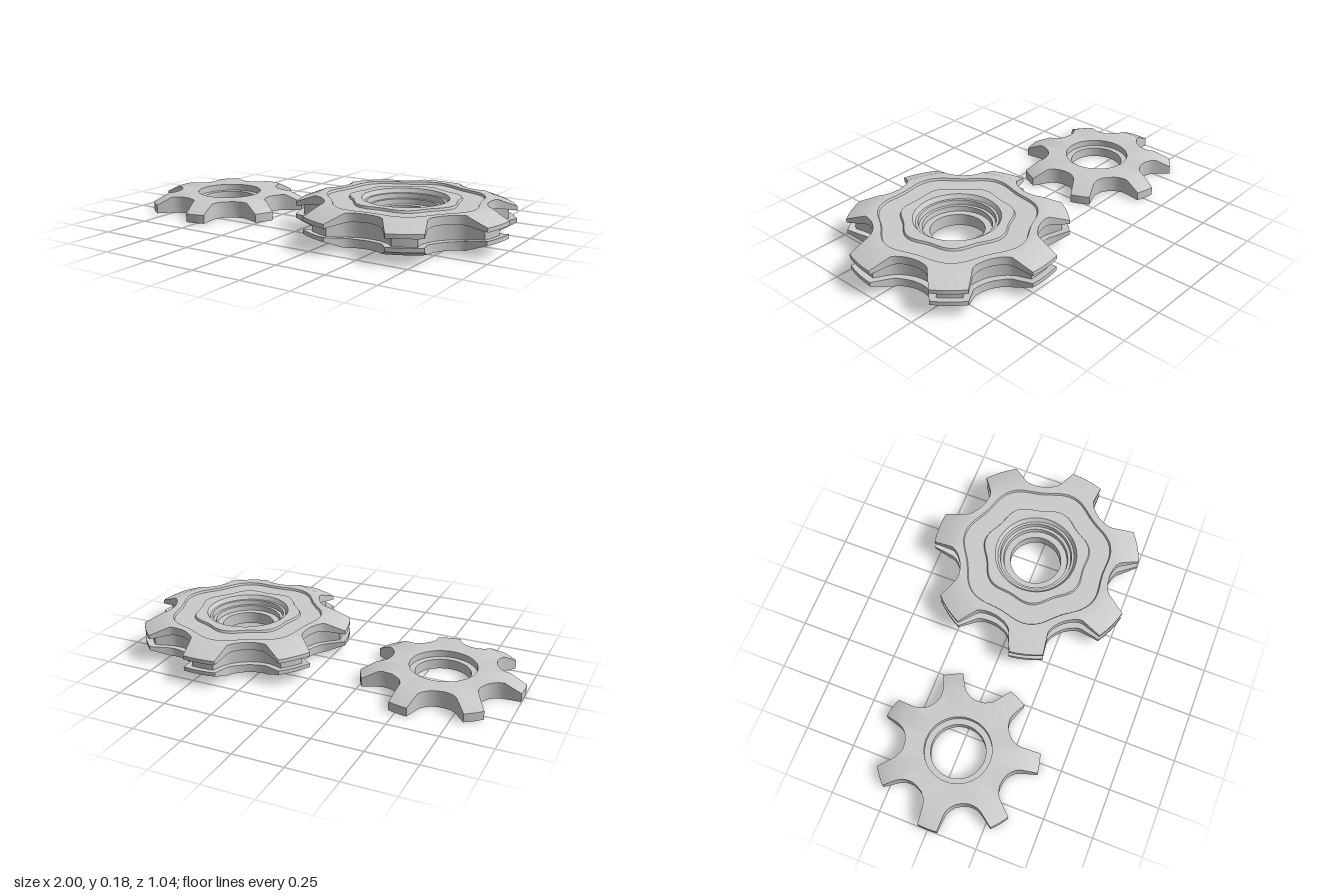
import * as THREE from 'three';
import { toCreasedNormals } from 'three/addons/utils/BufferGeometryUtils.js';

const TEETH = 7;
const rad = THREE.MathUtils.degToRad;

// Half a tooth [degrees from tooth centre, radius], mirrored and repeated round the gear
function outline(half, startDeg) {
  const left = half.slice(1, -1).reverse().map(([a, r]) => [-a, r]);
  const tooth = [...left, ...half];
  const pts = [];
  for (let t = 0; t < TEETH; t++)
    for (const [a, r] of tooth) pts.push({ a: rad(startDeg + (t * 360) / TEETH + a), r, off: a });
  return pts;
}

// Joins rings of points into a closed, doughnut-like skin.
// Rings run up the bore, out over the top, down the rim and back underneath.
function skin(rings) {
  const pos = [];
  const n = rings[0].length;
  const tri = (a, b, c) => {
    const area = new THREE.Vector3().subVectors(b, a).cross(new THREE.Vector3().subVectors(c, a));
    if (area.length() > 1e-9) for (const p of [a, b, c]) pos.push(p.x, p.y, p.z);
  };
  rings.forEach((ring, k) => {
    const next = rings[(k + 1) % rings.length];
    for (let i = 0; i < n; i++) {
      const j = (i + 1) % n;
      tri(ring[i], ring[j], next[i]);
      tri(ring[j], next[j], next[i]);
    }
  });
  const geo = new THREE.BufferGeometry();
  geo.setAttribute('position', new THREE.Float32BufferAttribute(pos, 3));
  return toCreasedNormals(geo, rad(28));
}

// One ring; radius and height may be numbers or rules of the outline point
function ring(pts, radius, height) {
  return pts.map((p) => {
    const r = typeof radius === 'function' ? radius(p) : radius;
    const y = typeof height === 'function' ? height(r) : height;
    return new THREE.Vector3(r * Math.cos(p.a), y, r * Math.sin(p.a));
  });
}

const ramp = (r, r0, r1, y0, y1) => THREE.MathUtils.clamp(THREE.MathUtils.mapLinear(r, r0, r1, y0, y1), Math.min(y0, y1), Math.max(y0, y1));
const rim = (p) => p.r;

// Thin gear with bevelled tooth tips and a stepped bore
function smallGear() {
  const pts = outline([[0, 0.4], [3.6, 0.4], [7.1, 0.4], [8.6, 0.35], [9.8, 0.32], [11.5, 0.298],
    [14.5, 0.281], [19, 0.267], [25.714, 0.262]], 180);
  const H = 0.083;
  return skin([
    ring(pts, 0.135, 0),
    ring(pts, 0.135, 0.05),
    ring(pts, 0.165, 0.05),
    ring(pts, 0.165, H),
    ring(pts, (p) => Math.min(p.r, 0.32), H),
    ring(pts, rim, (r) => ramp(r, 0.32, 0.4, H, 0.043)),
    ring(pts, rim, 0),
  ]);
}

// Thick gear: bevelled teeth split by a groove round the rim, stepped hub
function largeGear() {
  const start = 10.6;
  const pts = outline([[0, 0.53], [4.6, 0.53], [9.2, 0.53], [11.2, 0.475], [13.2, 0.43], [15, 0.415],
    [18, 0.402], [21.5, 0.394], [25.714, 0.39]], start);
  const core = outline([[0, 0.495], [3.3, 0.495], [6.6, 0.495], [8.2, 0.445], [9.8, 0.41], [12.5, 0.388],
    [16.5, 0.372], [21, 0.362], [25.714, 0.358]], start);
  const mid = 0.1;
  const wave = (base, amp) => (p) => base + amp * Math.cos(rad(p.off * TEETH));
  const shoulder = (p) => Math.min(p.r, 0.43);
  const bevel = (r) => ramp(r, 0.43, 0.53, 0.08, 0.04);   // half height of the rim
  const lip = (r) => ramp(r, 0.4, 0.53, 0.04, 0.02);      // half height of the groove
  return skin([
    // bore and hub steps
    ring(pts, 0.13, 0.05),
    ring(pts, 0.13, 0.11),
    ring(pts, 0.162, 0.11),
    ring(pts, 0.165, 0.135),
    ring(pts, 0.18, 0.135),
    ring(pts, 0.183, 0.16),
    ring(pts, 0.195, 0.16),
    ring(pts, 0.208, 0.18),
    // shallow wavy channel in the top
    ring(pts, wave(0.26, 0.011), 0.18),
    ring(pts, wave(0.265, 0.011), 0.169),
    ring(pts, wave(0.365, 0.015), 0.169),
    ring(pts, wave(0.37, 0.015), 0.18),
    // upper teeth
    ring(pts, shoulder, 0.18),
    ring(pts, rim, (r) => mid + bevel(r)),
    ring(pts, rim, (r) => mid + lip(r)),
    // groove
    ring(core, rim, (r) => mid + lip(r)),
    ring(core, rim, (r) => mid - lip(r)),
    // lower teeth
    ring(pts, rim, (r) => mid - lip(r)),
    ring(pts, rim, (r) => mid - bevel(r)),
    ring(pts, shoulder, 0.02),
    // countersink underneath
    ring(pts, 0.21, 0.02),
  ]);
}

export function createModel() {
  const group = new THREE.Group();
  group.name = 'gearPair';
  const material = new THREE.MeshStandardMaterial({ color: 0xcccccc });
  const add = (name, geometry, x) => {
    const mesh = new THREE.Mesh(geometry, material);
    mesh.name = name;
    mesh.position.x = x;
    group.add(mesh);
  };
  add('smallGear', smallGear(), -0.6);
  add('largeGear', largeGear(), 0.468);
  return group;
}
